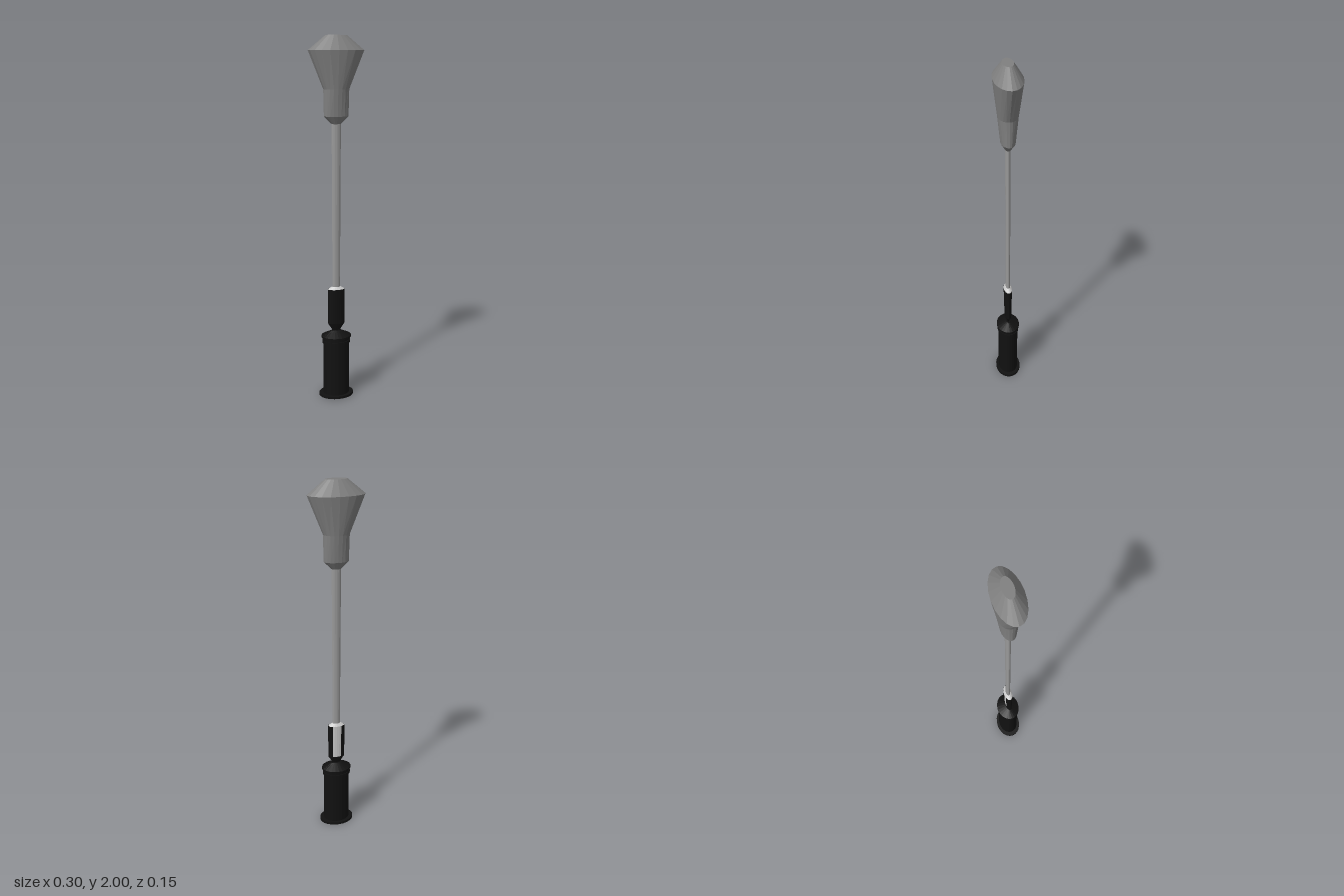
import * as THREE from 'three';

const material = (color) =>
  new THREE.MeshStandardMaterial({ color, flatShading: true, side: THREE.DoubleSide });

// Lofts elliptical rings [y, rx, rz], listed bottom to top; the angle runs from +z towards +x.
function loft(name, rings, mat, sides = 20, start = 0, arc = Math.PI * 2) {
  const pos = [], index = [], row = sides + 1;
  for (const [y, rx, rz] of rings) {
    for (let i = 0; i <= sides; i++) {
      const a = start + (arc * i) / sides;
      pos.push(rx * Math.sin(a), y, rz * Math.cos(a));
    }
  }
  for (let j = 0; j < rings.length - 1; j++) {
    for (let i = 0; i < sides; i++) {
      const a = j * row + i, b = a + 1, c = a + row, d = c + 1;
      index.push(a, b, d, a, d, c);
    }
  }
  const geo = new THREE.BufferGeometry();
  geo.setAttribute('position', new THREE.Float32BufferAttribute(pos, 3));
  geo.setIndex(index);
  geo.computeVertexNormals();
  const mesh = new THREE.Mesh(geo, mat);
  mesh.name = name;
  return mesh;
}

export function createModel() {
  const group = new THREE.Group();
  group.name = 'model';
  const black = material(0x111111);
  const headGrey = material(0x808080);
  const rodGrey = material(0x999999);
  const lightGrey = material(0xcccccc);

  // Flared head with a flat crown
  group.add(loft('head', [
    [1.55, 0, 0], [1.55, 0.025, 0.016], [1.59, 0.066, 0.038], [1.73, 0.069, 0.052],
    [1.925, 0.148, 0.075], [2.0, 0.056, 0.028], [2.0, 0, 0],
  ], headGrey));

  // Slim, slightly tapered rod
  group.add(loft('rod', [[0.6, 0.021, 0.012], [1.56, 0.025, 0.014]], rodGrey, 16));

  // Light core, exposed through the slot in the back of the grip
  group.add(loft('gripCore', [
    [0.43, 0.04, 0.016], [0.638, 0.044, 0.021], [0.638, 0.047, 0.024],
    [0.652, 0.024, 0.014], [0.652, 0, 0],
  ], lightGrey));

  // Grip shell, open along the back (-z)
  const gap = Math.PI / 6;
  group.add(loft('gripShell', [[0.435, 0.047, 0.019], [0.638, 0.048, 0.024]],
    black, 20, Math.PI + gap, 2 * (Math.PI - gap)));
  group.add(loft('gripNeck', [
    [0.38, 0.026, 0.012], [0.395, 0.022, 0.007], [0.412, 0.032, 0.012],
    [0.435, 0.047, 0.019], [0.435, 0, 0],
  ], black));

  // Base: foot plate, barrel, two collar rings and sloping cap
  group.add(loft('base', [
    [0, 0, 0], [0, 0.098, 0.073], [0.014, 0.098, 0.073], [0.014, 0.074, 0.057],
    [0.322, 0.074, 0.057], [0.322, 0.08, 0.062], [0.338, 0.08, 0.062],
    [0.338, 0.075, 0.058], [0.354, 0.075, 0.058], [0.354, 0.084, 0.066],
    [0.364, 0.084, 0.066], [0.392, 0.03, 0.014], [0.392, 0, 0],
  ], black, 24));

  return group;
}
